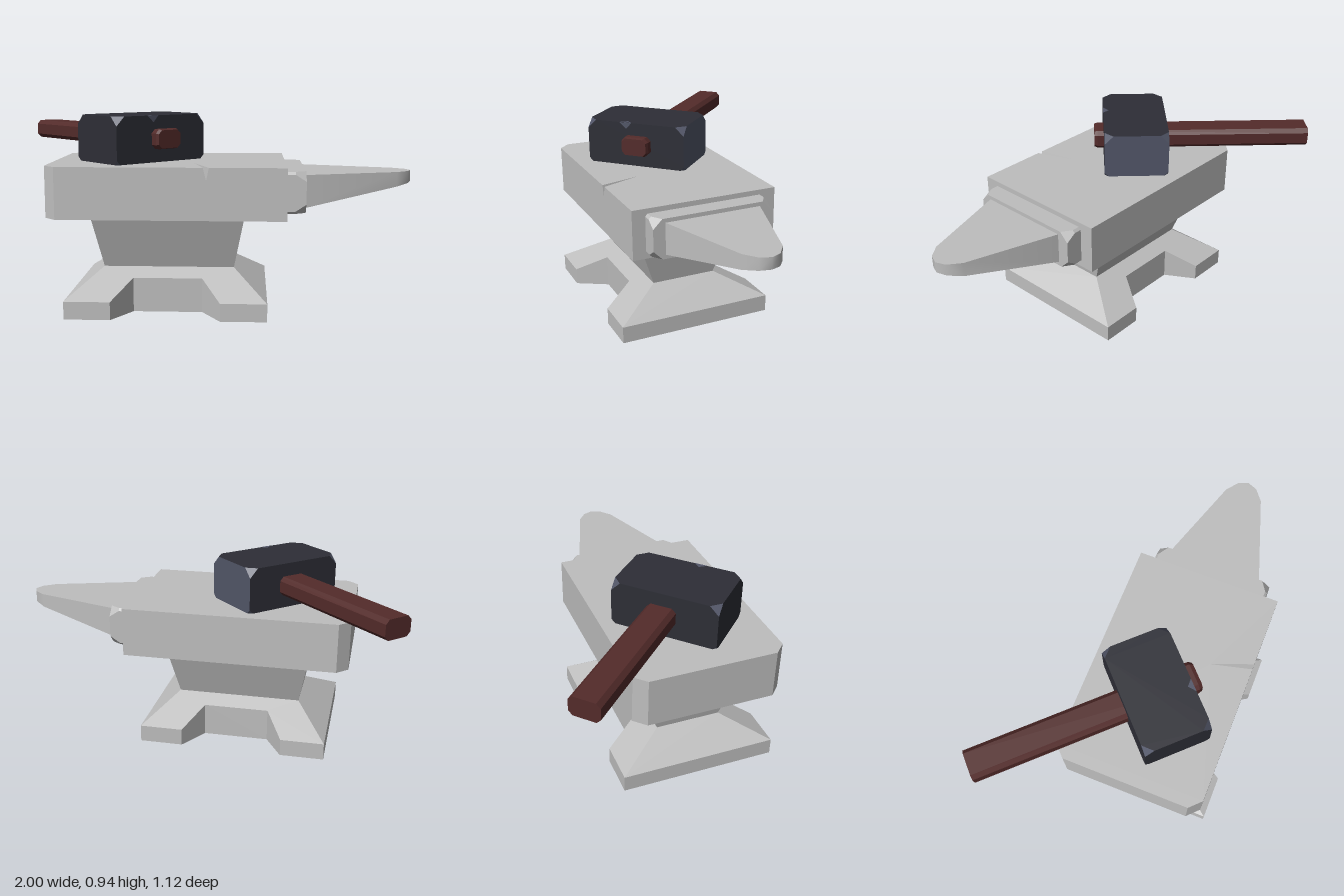
import * as THREE from 'three';
import { toCreasedNormals } from 'three/addons/utils/BufferGeometryUtils.js';
import { ConvexGeometry } from 'three/addons/geometries/ConvexGeometry.js';

const mat = (name, color) => Object.assign(new THREE.MeshStandardMaterial({ color }), { name });

// Flat-shaded geometry from planar polygons, each counter-clockwise from outside
function fromFaces(polys) {
  const pos = [];
  for (const poly of polys) {
    const p = poly.map(v => new THREE.Vector3(...v));
    const n = new THREE.Vector3();
    p.forEach((a, i) => n.add(a.clone().cross(p[(i + 1) % p.length])));
    const [ax, ay, az] = n.toArray().map(Math.abs);
    const flat = p.map(v => ax >= ay && ax >= az ? new THREE.Vector2(v.y, v.z)
      : ay >= az ? new THREE.Vector2(v.z, v.x) : new THREE.Vector2(v.x, v.y));
    for (const [i, j, k] of THREE.ShapeUtils.triangulateShape(flat, [])) {
      const t = p[j].clone().sub(p[i]).cross(p[k].clone().sub(p[i]));
      const order = t.dot(n) > 0 ? [i, j, k] : [i, k, j];
      order.forEach(q => pos.push(p[q].x, p[q].y, p[q].z));
    }
  }
  const g = new THREE.BufferGeometry();
  g.setAttribute('position', new THREE.Float32BufferAttribute(pos, 3));
  g.computeVertexNormals();
  return g;
}

// Skin between equal-length rings, with both ends capped
function loft(rings) {
  const polys = [[...rings[0]].reverse(), rings[rings.length - 1]];
  for (let r = 0; r + 1 < rings.length; r++) {
    const a = rings[r], b = rings[r + 1];
    a.forEach((v, i) => {
      const j = (i + 1) % a.length;
      polys.push([v, a[j], b[j], b[i]]);
    });
  }
  return fromFaces(polys);
}

// Corner-cut rectangle outline, counter-clockwise
const octagon = (w, h, c) => [[w, -h + c], [w, h - c], [w - c, h], [-w + c, h],
  [-w, h - c], [-w, -h + c], [-w + c, -h], [w - c, -h]];

// Sloped foot with a notch in the front and the back
function footGeometry() {
  const out = [[-0.473, 0.393, 0.085], [-0.255, 0.393, 0.085], [-0.165, 0.24, 0.165],
    [0.165, 0.24, 0.165], [0.255, 0.393, 0.085], [0.473, 0.393, 0.085]];
  const tops = out.map(([x, z, y]) => [x, y, z]);
  const half = [
    [...tops, [0.315, 0.205, 0.165], [-0.315, 0.205, 0.165]],
    [[0.473, 0.085, 0.393], [0.473, 0.085, -0.393], [0.315, 0.205, -0.165], [0.315, 0.205, 0.165]],
    [[0.473, 0, 0.393], [0.473, 0, -0.393], [0.473, 0.085, -0.393], [0.473, 0.085, 0.393]],
  ];
  for (let i = 0; i < 5; i++) {
    const a = tops[i], b = tops[i + 1];
    half.push([[a[0], 0, a[2]], [b[0], 0, b[2]], b, a]);
  }
  const turn = ([x, y, z]) => [-x, y, -z];
  const rim = tops.map(([x, , z]) => [x, 0, z]);
  return fromFaces([...half, ...half.map(f => f.map(turn)), [...rim, ...rim.map(turn)].reverse()]);
}

// Table block with two clipped corners and a wedge-shaped crack
function tableGeometry() {
  const lo = 0.465, hi = 0.71;
  const apex = [-0.05, hi, 0.335], deep = [0.015, 0.65, 0.535];
  const n1 = [0, hi, 0.535], n2 = [0.028, hi, 0.535];
  const rim = [[-0.685, 0.535], [0.385, 0.535], [0.385, -0.2], [-0.685, -0.2], [-0.74, -0.145], [-0.74, 0.48]];
  const at = y => rim.map(([x, z]) => [x, y, z]);
  const b = at(lo), t = at(hi);
  const polys = [
    [t[0], n1, apex, n2, ...t.slice(1)],
    [...b].reverse(),
    [b[0], b[1], t[1], n2, deep, n1, t[0]],
    [n1, deep, apex], [n2, apex, deep],
  ];
  for (let i = 1; i < 6; i++) {
    const j = (i + 1) % 6;
    polys.push([b[i], b[j], t[j], t[i]]);
  }
  return fromFaces(polys);
}

// Horn: flat top, rounded tip, underside rising toward the tip
function hornGeometry() {
  const side = [[0.46, 0.245], [0.92, 0.097], [0.98, 0.05]];
  const rim = [...side, [1, 0], ...side.map(([x, z]) => [x, -z]).reverse()];
  const bottom = rim.map(([x, z]) => [x, 0.507 + (x - 0.46) * 0.19, z + 0.17]);
  return toCreasedNormals(loft([bottom, rim.map(([x, z]) => [x, 0.665, z + 0.17])]), 0.85);
}

// Hammer head with cut corners; group 0 = dark faces, group 1 = bare corners and one end
function headGeometry() {
  const pts = [], L = 0.265, H = 0.1125, W = 0.163;
  for (const x of [-1, 1]) for (const y of [-1, 1]) for (const z of [-1, 1]) {
    const c = y > 0 ? 0.045 : 0.02;
    pts.push(new THREE.Vector3(x * (L - c), y * H, z * W),
      new THREE.Vector3(x * L, y * (H - c), z * W),
      new THREE.Vector3(x * L, y * H, z * (W - c)));
  }
  const g = new ConvexGeometry(pts), n = g.getAttribute('normal');
  for (let i = 0; i < n.count; i += 3) {
    const v = [n.getX(i), n.getY(i), n.getZ(i)];
    const flat = Math.max(...v.map(Math.abs)) > 0.99;
    g.addGroup(i, 3, flat && v[0] < 0.99 ? 0 : 1);
  }
  return g;
}

export function createModel() {
  const steel = mat('anvilGrey', 0xbebebe);
  const dark = mat('hammerDark', 0x2d2e36);
  const bare = mat('hammerBlueGrey', 0x525668);
  const wood = mat('handleBrown', 0x532b2a);
  const model = new THREE.Group();
  const add = (parent, name, geo, material) => {
    const m = new THREE.Mesh(geo, material);
    m.name = name;
    parent.add(m);
    return m;
  };

  // Anvil
  const anvil = new THREE.Group();
  anvil.name = 'anvil';
  model.add(anvil);
  add(anvil, 'foot', footGeometry(), steel).position.set(-0.175, 0, 0.172);
  const rect = (y, x0, x1, z0, z1) => [[x0, y, z1], [x1, y, z1], [x1, y, z0], [x0, y, z0]];
  add(anvil, 'waist', loft([rect(0.205, -0.49, 0.14, 0.007, 0.337), rect(0.465, -0.54, 0.19, -0.085, 0.43)]), steel);
  add(anvil, 'table', tableGeometry(), steel);
  const ring = (x, c) => octagon(0.098, 0.3, c).map(([y, z]) => [x, 0.587 + y, 0.17 + z]);
  add(anvil, 'collar', loft([ring(0.38, 0.012), ring(0.425, 0.012), ring(0.475, 0.045)]), steel);
  add(anvil, 'horn', hornGeometry(), steel);

  // Hammer lying across the table
  const hammer = new THREE.Group();
  hammer.name = 'hammer';
  hammer.position.set(-0.325, 0.8225, 0.16);
  hammer.rotation.y = 0.77;
  model.add(hammer);
  add(hammer, 'hammerHead', headGeometry(), [dark, bare]);
  const section = z => octagon(0.073, 0.048, 0.02).map(([x, y]) => [x + 0.012, y, z]);
  add(hammer, 'handle', loft([section(-0.91), section(0.195), section(0.212).map(([x, y, z]) => [x * 0.9, y * 0.9, z])]), wood);

  // Small chip on the front top edge of the head
  const chip = fromFaces([
    [[-0.085, 0.1125, 0.164], [-0.05, 0.08, 0.164], [-0.02, 0.1125, 0.164]],
    [[-0.085, 0.1135, 0.163], [-0.02, 0.1135, 0.163], [-0.05, 0.1135, 0.135]],
  ]);
  add(hammer, 'edgeChip', chip, bare);
  return model;
}
